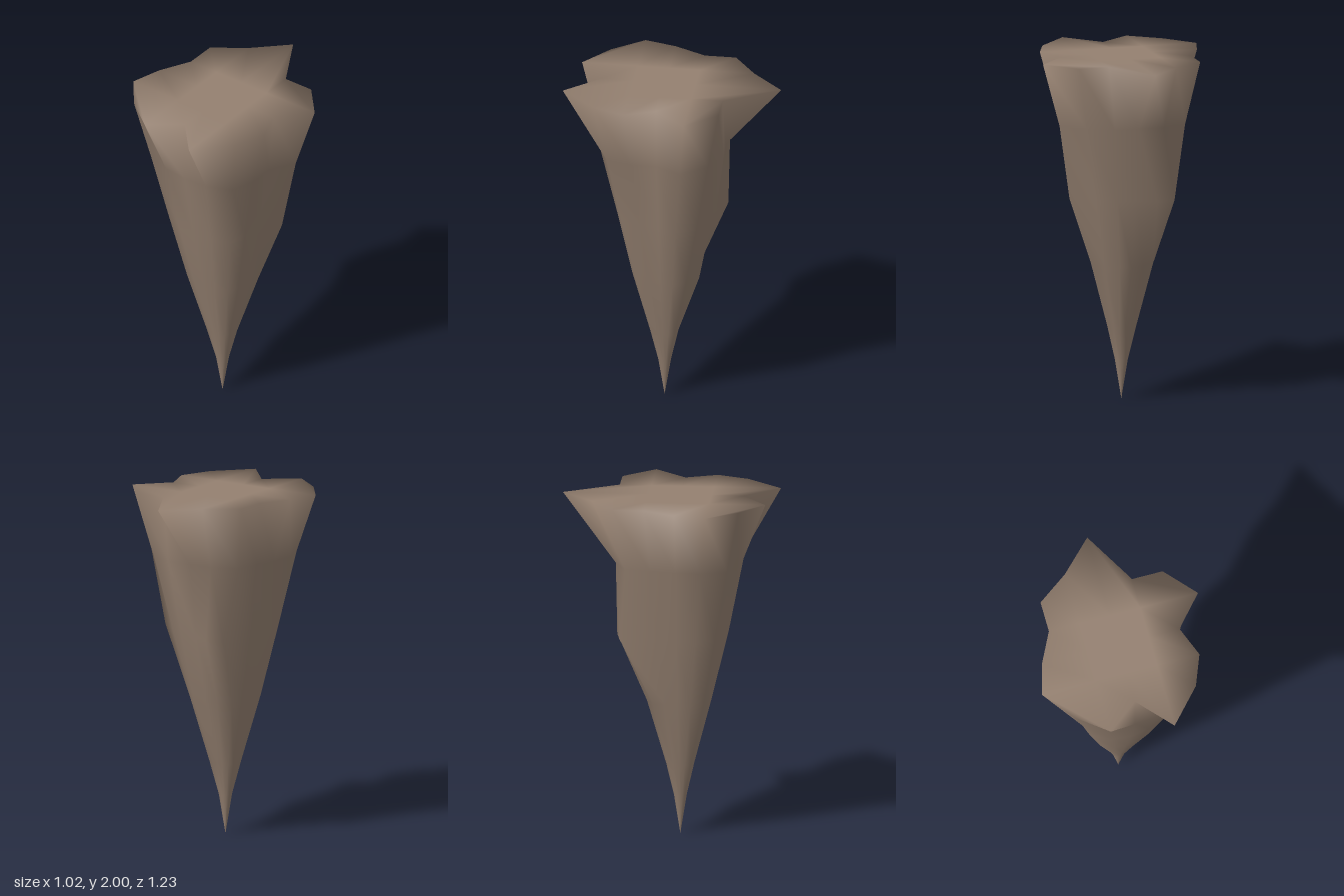
import * as THREE from 'three';
import { mergeVertices } from 'three/addons/utils/BufferGeometryUtils.js';

// Rings from the rim down to the tip: [height, half width]
const RINGS = [[2, 0.36], [1.63, 0.291], [1.2, 0.216], [0.8, 0.144], [0.42, 0.064], [0.23, 0.027], [0, 0]];

// Outward bumps per side: rows are rings, columns run along +x or +z
const BUMPS = {
  back: [[0, 0.13, 0.31, 0, 0], [0, 0.065, 0.06, 0.07, 0], [0.115, 0.135, 0.08, 0.07, 0],
    [0, 0.04, 0.05, 0.065, 0], [0, 0.014, 0.016, 0.014, 0], [0, 0.008, 0.01, 0.008, 0]],
  front: [[0, 0.14, 0, 0.2, 0], [0, 0.05, 0.07, 0.06, 0], [0, 0.05, 0.06, 0.04, 0],
    [0, 0.03, 0.035, 0.03, 0], [0, 0.014, 0.016, 0.014, 0], [0, 0.008, 0.01, 0.008, 0]],
  left: [[0, 0.16, 0, 0.07, 0], [0, 0.12, 0.04, 0.04, 0], [0, 0.125, 0.035, 0.02, 0],
    [0, 0.055, 0.03, 0.02, 0], [0, 0.016, 0.014, 0.01, 0], [0, 0.008, 0.01, 0.008, 0]],
  right: [[0, 0, 0.09, 0.14, 0], [0, 0.03, 0.05, 0.06, 0], [0, 0.03, 0.045, 0.045, 0],
    [0, 0.02, 0.035, 0.04, 0], [0, 0.014, 0.016, 0.016, 0], [0, 0.008, 0.01, 0.008, 0]],
};

export function createModel() {
  const group = new THREE.Group();
  group.name = 'rockSpike';
  const stone = new THREE.MeshStandardMaterial({ color: 0x948070 });
  stone.name = 'brownStone';

  // Gridded block with shared corners, so that the shading is smooth all over
  const rows = RINGS.length - 1;
  const box = new THREE.BoxGeometry(4, rows, 4, 4, rows, 4);
  box.deleteAttribute('normal');
  box.deleteAttribute('uv');
  const geo = mergeVertices(box);
  const pos = geo.attributes.position;

  // Mirror the grid in x, with the winding reversed, so its diagonals follow the ridges
  geo.index.array.reverse();
  for (let n = 0; n < pos.count; n++) {
    const i = 2 - Math.round(pos.getX(n));
    const k = Math.round(pos.getZ(n)) + 2;
    const row = Math.round(rows / 2 - pos.getY(n));
    const [y, half] = RINGS[row];

    // Taper to a point at the bottom
    let x = (i / 2 - 1) * half;
    let z = (k / 2 - 1) * half;

    // Push the sides outward into ridges and knobs
    const bump = (side, column) => BUMPS[side][row]?.[column] ?? 0;
    if (k === 0) z -= bump('back', i);
    if (k === 4) z += bump('front', i);
    if (i === 0) x -= bump('right', k);
    if (i === 4) x += bump('left', k);

    pos.setXYZ(n, x - 0.01, y, z + 0.05);
  }
  geo.computeVertexNormals();

  const spike = new THREE.Mesh(geo, stone);
  spike.name = 'spike';
  group.add(spike);
  return group;
}
